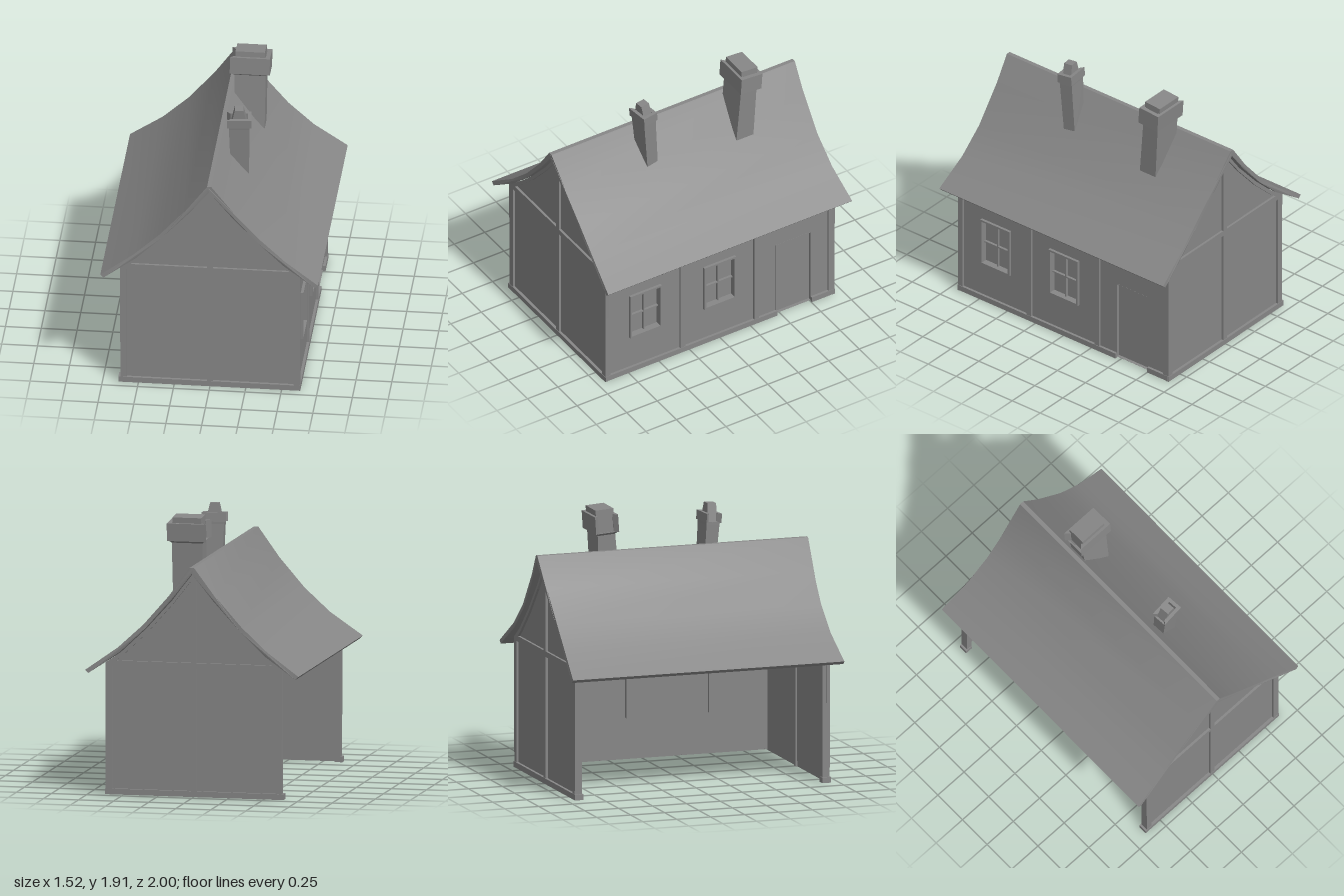
import * as THREE from 'three';
import { toCreasedNormals } from 'three/addons/utils/BufferGeometryUtils.js';

const mat = new THREE.MeshStandardMaterial({ color: 0x878787, side: THREE.DoubleSide });

function add(parent, name, geometry) {
  const mesh = new THREE.Mesh(geometry, mat);
  mesh.name = name;
  parent.add(mesh);
  return mesh;
}

// Box given by its low and high corners
function box(parent, name, [x0, y0, z0], [x1, y1, z1]) {
  const mesh = add(parent, name, new THREE.BoxGeometry(x1 - x0, y1 - y0, z1 - z0));
  mesh.position.set((x0 + x1) / 2, (y0 + y1) / 2, (z0 + z1) / 2);
}

const shapeOf = (pts) => new THREE.Shape(pts.map(([x, y]) => new THREE.Vector2(x, y)));
const rect = (x0, y0, x1, y1) => [[x0, y0], [x1, y0], [x1, y1], [x0, y1]];
const flipX = (pts) => pts.map(([x, y]) => [-x, y]);

function plate(pts, holes, z0, z1) {
  const shape = shapeOf(pts);
  shape.holes = holes.map(shapeOf);
  return new THREE.ExtrudeGeometry(shape, { depth: z1 - z0, bevelEnabled: false }).translate(0, 0, z0);
}

// Half profiles of the swept roof, ridge to eave
const roofTop = [[0.015, 1.618], [0.17, 1.41], [0.35, 1.205], [0.53, 1.04], [0.76, 0.877]];
const roofUnder = [[0, 1.575], [0.15, 1.385], [0.335, 1.18], [0.515, 1.01], [0.738, 0.855]];

function buildRoof(parent) {
  const outline = [
    ...flipX(roofTop).reverse(), ...roofTop,
    ...[...roofUnder].reverse(), ...flipX(roofUnder.slice(1)),
  ];
  const geo = plate(outline, [], -1, 1);
  // Gable ends of the roof dip inwards halfway down the slope
  const p = geo.attributes.position;
  for (let i = 0; i < p.count; i++) {
    const t = Math.min(1, Math.abs(p.getX(i)) / 0.738);
    p.setZ(i, p.getZ(i) * (1 - 0.1 * t * (1 - t)));
  }
  add(parent, 'roof', toCreasedNormals(geo, 0.5));
}

function buildGable(name) {
  const g = new THREE.Group();
  g.name = name;
  // Edge following the underside of the roof
  const slope = [[0.63, 0.925], [0.515, 1.005], [0.335, 1.175], [0.15, 1.38], [0.012, 1.565]];
  const outline = [[-0.625, 0], [0.625, 0], ...slope, ...flipX(slope).reverse()];
  const upper = [[0.02, 0.94], [0.555, 0.94], [0.5, 0.983], [0.33, 1.145], [0.148, 1.35], [0.02, 1.515]];
  const lower = rect(0.02, 0.04, 0.582, 0.9);
  add(g, 'gableTimberFrame', plate(outline, [upper, flipX(upper), lower, flipX(lower)], 0.917, 0.94));
  for (const panel of [upper, flipX(upper), lower, flipX(lower)])
    add(g, 'gablePanel', plate(panel, [], 0.913, 0.923));
  box(g, 'gableSill', [-0.63, 0, 0.922], [0.63, 0.04, 0.943]);
  box(g, 'gableCentrePost', [-0.02, 0, 0.905], [0.02, 1.5, 0.94]);
  box(g, 'gableCornerPost', [-0.625, 0, 0.885], [-0.585, 0.92, 0.94]);
  box(g, 'cornerPostFoot', [-0.64, 0, 0.88], [-0.585, 0.04, 0.943]);
  return g;
}

// Long wall with two windows and a door, built facing +z and turned to +x
function buildLongWall() {
  const g = new THREE.Group();
  g.name = 'longWall';
  const windows = [-0.608, 0.001];
  const w = 0.13, y0 = 0.298, y1 = 0.663;
  const outline = [
    [-0.92, 0.01], [0.468, 0.01], [0.468, 0.605], [0.752, 0.605],
    [0.752, 0.01], [0.92, 0.01], [0.92, 0.92], [-0.92, 0.92],
  ];
  add(g, 'wallPanel', plate(outline, windows.map((u) => rect(u - w, y0, u + w, y1)), 0.6, 0.612));
  for (const [a, b] of [[-0.94, -0.9], [-0.325, -0.285], [0.28, 0.32], [0.89, 0.936]])
    box(g, 'wallPost', [a, 0.005, 0.602], [b, 0.92, 0.628]);
  box(g, 'wallPlate', [-0.93, 0.88, 0.602], [0.93, 0.92, 0.626]);
  box(g, 'wallSill', [-0.94, 0.003, 0.608], [0.468, 0.043, 0.631]);
  box(g, 'wallSill', [0.752, 0.003, 0.608], [0.936, 0.043, 0.631]);
  // Recessed door with its jambs and lintel
  add(g, 'doorFrame', plate(rect(0.462, 0.012, 0.758, 0.611), [rect(0.468, 0.013, 0.752, 0.605)], 0.582, 0.613));
  box(g, 'door', [0.462, 0.012, 0.582], [0.758, 0.608, 0.59]);
  for (const u of windows) {
    const f = 0.014;
    const casing = rect(u - w, y0, u + w, y1);
    const opening = rect(u - w + f, y0 + f, u + w - f, y1 - f);
    add(g, 'windowCasing', plate(casing, [opening], 0.575, 0.632));
    box(g, 'windowPane', [u - w + 0.005, y0 + 0.005, 0.575], [u + w - 0.005, y1 - 0.005, 0.583]);
    box(g, 'windowMullion', [u - 0.005, y0 + f, 0.58], [u + 0.005, y1 - f, 0.602]);
    box(g, 'windowTransom', [u - w + f, 0.467, 0.58], [u + w - f, 0.477, 0.602]);
  }
  g.rotation.y = Math.PI / 2;
  return g;
}

// Tapered block: bottom size, top size, from y0 to y1
function block(parent, name, [bx, bz], [tx, tz], y0, y1) {
  const geo = new THREE.BoxGeometry(1, 1, 1);
  const p = geo.attributes.position;
  for (let i = 0; i < p.count; i++) {
    const top = p.getY(i) > 0;
    p.setXYZ(i, p.getX(i) * (top ? tx : bx), top ? y1 : y0, p.getZ(i) * (top ? tz : bz));
  }
  geo.computeVertexNormals();
  return add(parent, name, geo);
}

// Leaning stack cut along the roof slope, with a collar open towards the ridge
function buildChimney(name, c) {
  const g = new THREE.Group();
  g.name = name;
  const [low, high] = c.collar;
  const stack = block(g, 'chimneyStack', c.base, c.neck, 0, low + 0.005);
  const p = stack.geometry.attributes.position;
  for (let i = 0; i < p.count; i++)
    if (p.getY(i) === 0 && p.getX(i) < 0) p.setY(i, c.cut);
  stack.geometry.computeVertexNormals();

  const [w, d] = c.collarSize.map((s) => s / 2);
  const t = c.wall;
  // Collar legs narrow to a point at their open ends
  const u = [[-w, -d], [w, -d], [w, d], [-w, d], [-w + t, d - t], [w - t, d - t], [w - t, t - d], [-w + t, t - d]];
  const collar = plate(u, [], 0, high - low);
  collar.rotateX(-Math.PI / 2).translate(0, low, 0);
  add(g, 'chimneyCollar', collar);
  block(g, 'chimneyCollarFoot', c.neck, [c.collarSize[0] - t, c.collarSize[1] - 0.012], low - 0.015, low);
  block(g, 'chimneyCap', c.cap, c.capTop, low, c.top);
  g.position.set(...c.at);
  g.rotation.set(c.lean, c.turn, 0);
  return g;
}

export function createModel() {
  const house = new THREE.Group();
  house.name = 'cottage';
  buildRoof(house);
  house.add(buildGable('frontGable'));
  const back = buildGable('backGable');
  back.scale.z = -1;
  house.add(back);
  house.add(buildLongWall());

  house.add(buildChimney('largeChimney', {
    at: [0.139, 1.3, -0.443], lean: -0.07, turn: 0, cut: 0.24,
    base: [0.21, 0.14], neck: [0.22, 0.128], collar: [0.44, 0.565],
    collarSize: [0.279, 0.17], wall: 0.03, cap: [0.21, 0.132], capTop: [0.205, 0.132], top: 0.605,
  }));
  house.add(buildChimney('smallChimney', {
    at: [0.14, 1.365, 0.294], lean: 0.07, turn: 0.1, cut: 0.14,
    base: [0.13, 0.09], neck: [0.145, 0.1], collar: [0.385, 0.45],
    collarSize: [0.17, 0.115], wall: 0.025, cap: [0.12, 0.07], capTop: [0.06, 0.066], top: 0.516,
  }));
  return house;
}
